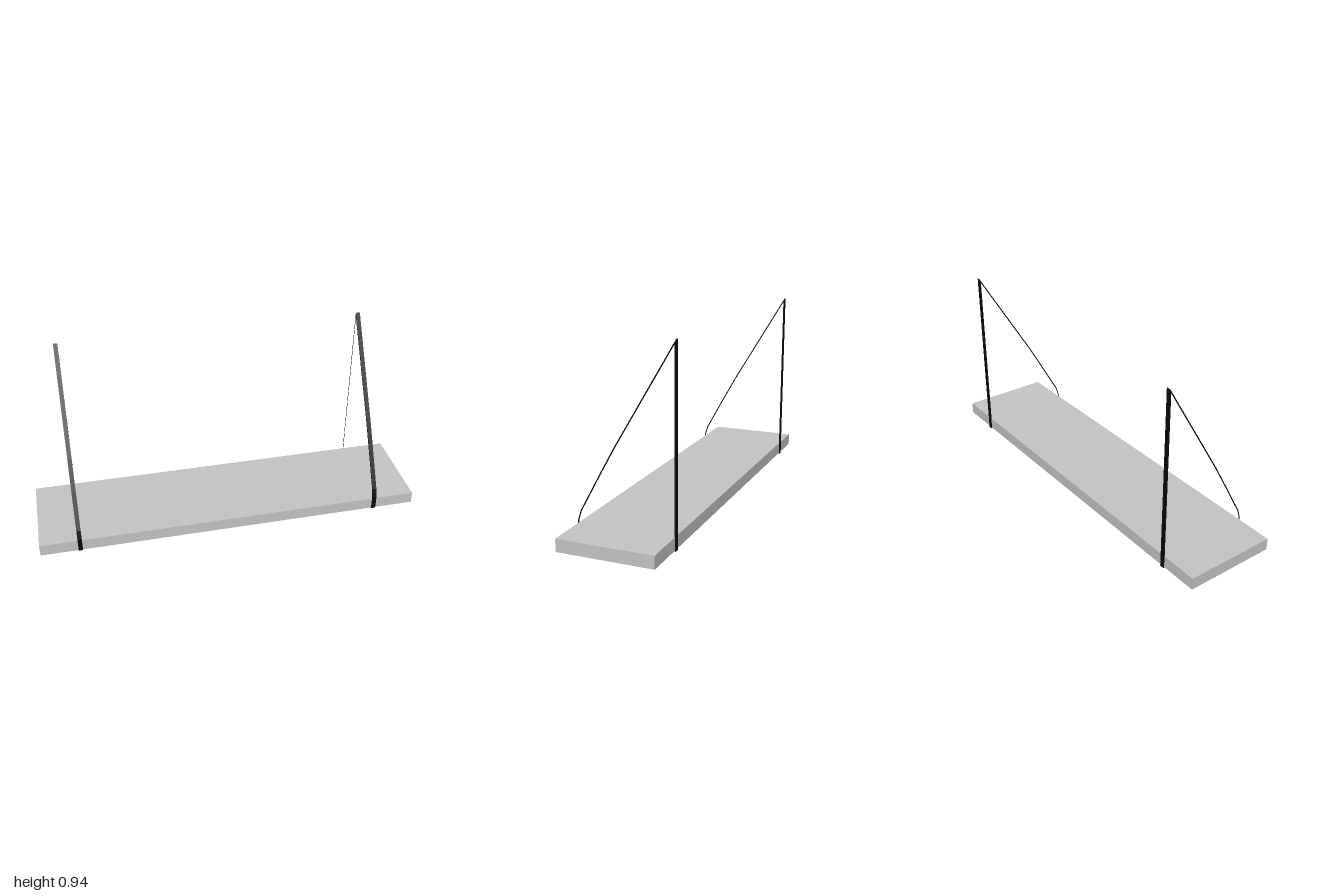
import * as THREE from 'three';

// Strap centre line as [z, y], a closed loop going clockwise from the wall hook
const LOOP = [
  [-0.242, 0.934], [0.05, 0.45], [0.13, 0.308], [0.229, 0.128], [0.243, 0.082],
  [0.244, 0.03], [0.242, 0.012], [0.237, 0.007], [0.22, 0.006], [-0.236, 0.009],
];

// Mitred offset of the closed loop
function offsetLoop(points, d) {
  const v = points.map(([a, b]) => new THREE.Vector2(a, b));
  const n = v.length;
  return v.map((p, i) => {
    const a = p.clone().sub(v[(i + n - 1) % n]).normalize();
    const b = v[(i + 1) % n].clone().sub(p).normalize();
    const na = new THREE.Vector2(-a.y, a.x);
    const nb = new THREE.Vector2(-b.y, b.x);
    const m = na.clone().add(nb).normalize();
    return p.clone().addScaledVector(m, d / m.dot(na));
  });
}

export function createModel() {
  const group = new THREE.Group();
  const boardGrey = new THREE.MeshStandardMaterial({ color: 0xc4c4c4 });
  boardGrey.name = 'boardGrey';
  const strapBlack = new THREE.MeshStandardMaterial({ color: 0x080909 });
  strapBlack.name = 'strapBlack';

  // Shelf board
  const board = new THREE.Mesh(new THREE.BoxGeometry(2, 0.062, 0.475), boardGrey);
  board.name = 'shelfBoard';
  board.position.set(0, 0.041, 0.003);
  group.add(board);

  // Flat straps looped around the board and up to the wall
  const width = 0.022;
  const shape = new THREE.Shape(offsetLoop(LOOP, 0.003));
  shape.holes.push(new THREE.Path(offsetLoop(LOOP, -0.003)));
  const strapGeometry = new THREE.ExtrudeGeometry(shape, { depth: width, bevelEnabled: false });
  strapGeometry.translate(0, 0, -width / 2);
  strapGeometry.rotateY(-Math.PI / 2);
  for (const [name, x] of [['rightStrap', -0.797], ['leftStrap', 0.78]]) {
    const strap = new THREE.Mesh(strapGeometry, strapBlack);
    strap.name = name;
    strap.position.x = x;
    group.add(strap);
  }
  return group;
}
